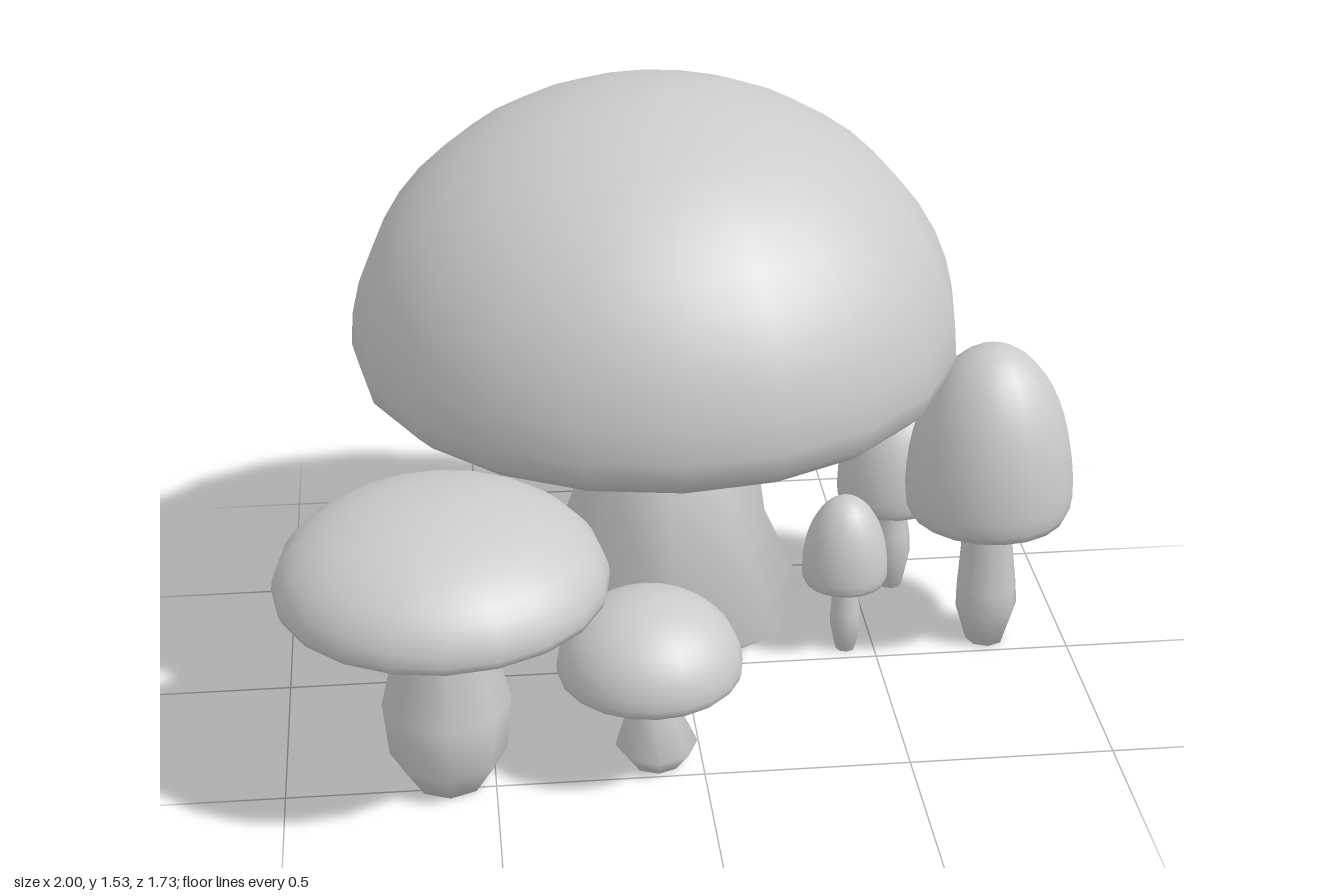
import * as THREE from 'three';

const material = new THREE.MeshStandardMaterial({ color: 0xcccccc });

// Domed cap with a rolled rim and a hollow underside
function makeCap({ x, z, r, bottom, top }) {
  const h = top - bottom;
  const lip = bottom + h * 0.13;
  const profile = [];
  // Hollow: quarter ellipse from the centre out to the inner lip
  for (let i = 0; i <= 5; i++) {
    const a = (i / 5) * Math.PI / 2;
    profile.push(new THREE.Vector2(r * 0.8 * Math.sin(a), bottom + h * (0.03 + 0.37 * Math.cos(a))));
  }
  // Rolled rim
  profile.push(
    new THREE.Vector2(r * 0.86, bottom),
    new THREE.Vector2(r * 0.93, bottom),
    new THREE.Vector2(r * 0.98, bottom + h * 0.05),
  );
  // Dome: quarter ellipse from the widest line to the apex
  for (let i = 0; i <= 12; i++) {
    const a = (i / 12) * Math.PI / 2;
    profile.push(new THREE.Vector2(i === 12 ? 0 : r * Math.cos(a), lip + (top - lip) * Math.sin(a)));
  }
  const cap = new THREE.Mesh(new THREE.LatheGeometry(profile, 20), material);
  cap.position.set(x, 0, z);
  cap.name = 'cap';
  return cap;
}

// Bulbous stem that leans from its base point to the centre of the cap
function makeStem({ x, z, bottom, top, baseX, baseZ, bulgeY, bulge, neck,
  foot = bulge * 0.62, shoulderY = bulgeY * 1.6, shoulder = bulge * 0.97 }) {
  const profile = [
    new THREE.Vector2(0, 0),
    new THREE.Vector2(foot, 0),
    new THREE.Vector2(bulge, bulgeY),
    new THREE.Vector2(shoulder, shoulderY),
    new THREE.Vector2(neck, bottom),
    new THREE.Vector2(neck * 0.93, bottom + (top - bottom) * 0.45),
  ];
  const geometry = new THREE.LatheGeometry(profile, 8);
  const pos = geometry.attributes.position;
  for (let i = 0; i < pos.count; i++) {
    const t = THREE.MathUtils.clamp((pos.getY(i) - bulgeY) / (bottom - bulgeY), 0, 1);
    pos.setX(i, pos.getX(i) + THREE.MathUtils.lerp(baseX, x, t));
    pos.setZ(i, pos.getZ(i) + THREE.MathUtils.lerp(baseZ, z, t));
  }
  const stem = new THREE.Mesh(geometry, material);
  stem.name = 'stem';
  return stem;
}

function makeMushroom(name, shape) {
  const mushroom = new THREE.Group();
  mushroom.name = name;
  mushroom.add(makeCap(shape), makeStem(shape));
  return mushroom;
}

export function createModel() {
  const model = new THREE.Group();
  model.name = 'mushroomCluster';
  model.add(
    makeMushroom('largeMushroom', {
      x: -0.06, z: -0.09, r: 0.74, bottom: 0.815, top: 1.53,
      baseX: -0.03, baseZ: -0.11, bulgeY: 0.16, bulge: 0.35, neck: 0.16,
      foot: 0.13, shoulderY: 0.56, shoulder: 0.19,
    }),
    makeMushroom('frontRightFlatMushroom', {
      x: -0.61, z: 0.47, r: 0.39, bottom: 0.515, top: 0.76,
      baseX: -0.61, baseZ: 0.455, bulgeY: 0.08, bulge: 0.14, neck: 0.085,
      shoulderY: 0.22, shoulder: 0.153,
    }),
    makeMushroom('frontSmallMushroom', {
      x: -0.126, z: 0.435, r: 0.222, bottom: 0.25, top: 0.46,
      baseX: -0.11, baseZ: 0.425, bulgeY: 0.05, bulge: 0.1, neck: 0.048,
      shoulderY: 0.16, shoulder: 0.06,
    }),
    makeMushroom('backFlatMushroom', {
      x: 0.155, z: -0.565, r: 0.3, bottom: 0.5, top: 0.74,
      baseX: 0.175, baseZ: -0.578, bulgeY: 0.08, bulge: 0.115, neck: 0.06,
      shoulderY: 0.25, shoulder: 0.1,
    }),
    makeMushroom('leftTallCapMushroom', {
      x: 0.785, z: -0.06, r: 0.213, bottom: 0.385, top: 0.84,
      baseX: 0.797, baseZ: -0.07, bulgeY: 0.1, bulge: 0.08, neck: 0.058,
    }),
    makeMushroom('backLeftSmallMushroom', {
      x: 0.592, z: -0.37, r: 0.144, bottom: 0.265, top: 0.57,
      baseX: 0.6, baseZ: -0.378, bulgeY: 0.1, bulge: 0.052, neck: 0.036,
    }),
    makeMushroom('leftTinyMushroom', {
      x: 0.42, z: -0.055, r: 0.11, bottom: 0.205, top: 0.44,
      baseX: 0.427, baseZ: -0.055, bulgeY: 0.07, bulge: 0.04, neck: 0.027,
    }),
  );
  return model;
}
